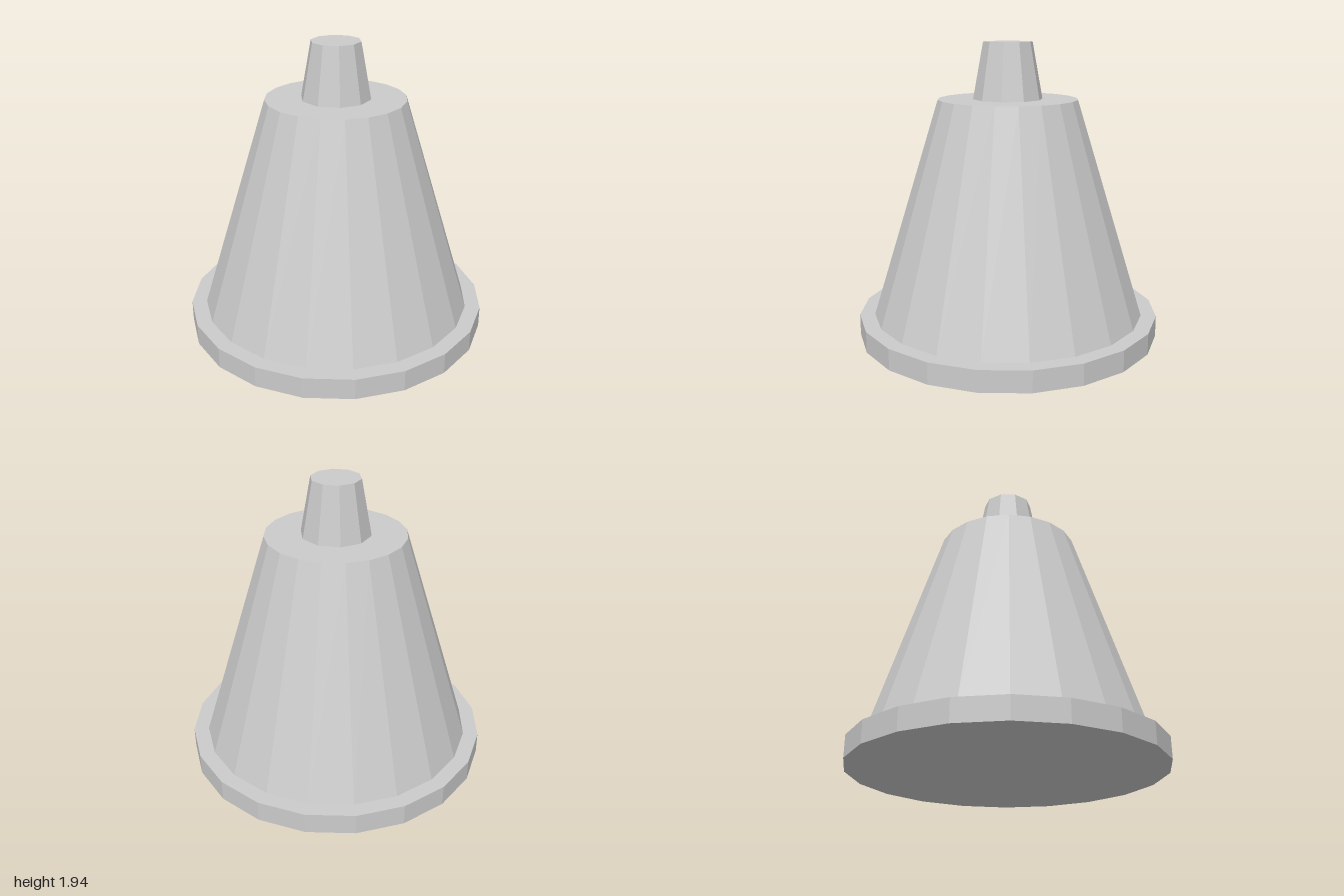
import * as THREE from 'three';

const material = new THREE.MeshStandardMaterial({ color: 0xcccccc, flatShading: true });

// Closed, faceted frustum standing between two heights
function frustum(name, bottomRadius, topRadius, y0, y1, sides) {
  const geometry = new THREE.CylinderGeometry(topRadius, bottomRadius, y1 - y0, sides);
  const mesh = new THREE.Mesh(geometry, material);
  mesh.name = name;
  mesh.position.y = (y0 + y1) / 2;
  return mesh;
}

export function createModel() {
  const group = new THREE.Group();
  group.name = 'steppedCone';
  group.add(
    frustum('baseDisc', 1, 1, 0, 0.14, 20),
    frustum('coneBody', 0.9, 0.455, 0.14, 1.57, 20),
    frustum('topKnob', 0.227, 0.16, 1.57, 1.935, 10),
  );
  return group;
}
